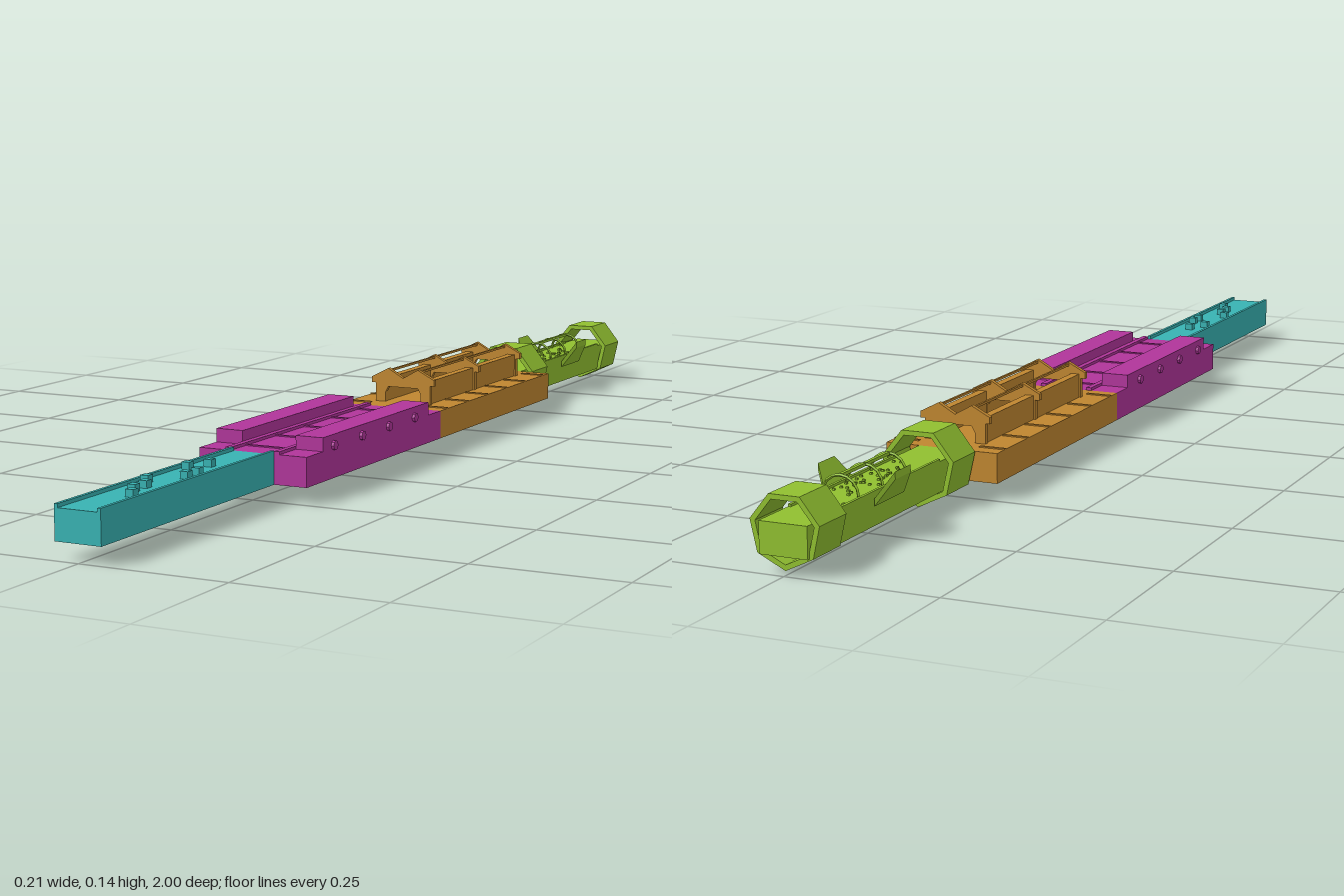
import * as THREE from 'three';

const material = (color) => new THREE.MeshStandardMaterial({ color, flatShading: true, side: THREE.DoubleSide });
const TEAL = material(0x38b2b2), MAGENTA = material(0xb0359a);
const ORANGE = material(0xbf8630), GREEN = material(0x90bf30);
const BOTTOM = 0.033, FLOOR = 0.083;

function add(group, name, geometry, mat) {
  const mesh = new THREE.Mesh(geometry, mat);
  mesh.name = name;
  group.add(mesh);
  return mesh;
}

// Box given by its extents on each axis
function box(group, name, mat, [x0, x1], [y0, y1], [z0, z1]) {
  const mesh = add(group, name, new THREE.BoxGeometry(x1 - x0, y1 - y0, z1 - z0), mat);
  mesh.position.set((x0 + x1) / 2, (y0 + y1) / 2, (z0 + z1) / 2);
  return mesh;
}

function section(parent, name) {
  const group = new THREE.Group();
  group.name = name;
  parent.add(group);
  return group;
}

const span = (side, a, b) => (side > 0 ? [a, b] : [-b, -a]);

// Seven-sided outline with one corner at the bottom
function heptagon(Type, radius, cy) {
  const points = [];
  for (let i = 0; i < 7; i++) {
    const a = -Math.PI / 2 + (i * Math.PI * 2) / 7;
    points.push(new THREE.Vector2(Math.cos(a) * radius, cy + Math.sin(a) * radius));
  }
  return new Type(points);
}

// Narrow front track with curbs and scattered blocks
function buildTrack(root) {
  const g = section(root, 'frontTrack');
  box(g, 'trackBase', TEAL, [-0.04, 0.04], [BOTTOM, FLOOR], [0.5, 1]);
  for (const s of [-1, 1]) box(g, 'trackCurb', TEAL, span(s, 0.034, 0.04), [FLOOR, 0.089], [0.5, 1]);
  const blocks = [[0, 0.633], [-0.02, 0.667], [0.018, 0.7], [0.018, 0.733],
    [-0.02, 0.785], [0, 0.82], [0, 0.852], [0.018, 0.885]];
  for (const [x, z] of blocks) {
    box(g, 'trackBlock', TEAL, [x - 0.007, x + 0.007], [FLOOR, 0.095], [z - 0.007, z + 0.007]);
  }
}

// Wide deck with raised side walls and round side lamps
function buildDeck(root) {
  const g = section(root, 'walledDeck');
  box(g, 'deckBase', MAGENTA, [-0.1, 0.1], [BOTTOM, FLOOR], [0, 0.5]);
  for (const s of [-1, 1]) {
    box(g, 'deckCurb', MAGENTA, span(s, 0.04, 0.05), [FLOOR, 0.088], [0, 0.5]);
    box(g, 'sideWall', MAGENTA, span(s, 0.05, 0.1), [FLOOR, 0.106], [0.05, 0.445]);
    for (let i = 0; i < 4; i++) {
      const lamp = add(g, 'sideLamp', new THREE.CylinderGeometry(0.008, 0.008, 0.01, 8), MAGENTA);
      lamp.rotation.z = Math.PI / 2;
      lamp.position.set(s * 0.1, 0.088, 0.108 + i * 0.1);
    }
  }
  for (let i = 0; i < 5; i++) {
    const z = 0.05 + i * 0.1;
    box(g, 'deckSeam', MAGENTA, [-0.04, 0.04], [FLOOR, 0.085], [z - 0.003, z + 0.003]);
  }
}

// Platform with low walls under three double-peaked frames
function buildPlatform(root) {
  const g = section(root, 'coveredPlatform');
  box(g, 'platformBase', ORANGE, [-0.1, 0.1], [BOTTOM, FLOOR], [-0.5, 0]);
  const outline = new THREE.Shape([
    [-0.055, FLOOR], [-0.055, 0.117], [-0.063, 0.117], [-0.063, 0.128], [-0.03, 0.145], [0, 0.128],
    [0.03, 0.145], [0.063, 0.128], [0.063, 0.117], [0.055, 0.117], [0.055, FLOOR],
    [0.036, FLOOR], [0.036, 0.1], [0.03, 0.111], [-0.03, 0.111], [-0.036, 0.1], [-0.036, FLOOR],
  ].map(([x, y]) => new THREE.Vector2(x, y)));
  const frame = new THREE.ExtrudeGeometry(outline, { depth: 0.009, bevelEnabled: false });
  for (const z of [-0.055, -0.25, -0.445]) add(g, 'peakedFrame', frame, ORANGE).position.z = z - 0.0045;
  for (const s of [-1, 1]) {
    box(g, 'platformWall', ORANGE, span(s, 0.037, 0.052), [FLOOR, 0.125], [-0.445, -0.055]);
    box(g, 'ridgeRail', ORANGE, span(s, 0.028, 0.032), [0.138, 0.142], [-0.445, -0.055]);
    for (let i = 0; i < 6; i++) {
      const z = -0.03 - i * 0.088;
      box(g, 'floorSeam', ORANGE, span(s, 0.055, 0.1), [FLOOR, 0.085], [z - 0.003, z + 0.003]);
    }
  }
}

// Hollow seven-sided collar around the walkway
function collar(g, radius, cy, z0, z1) {
  const shape = heptagon(THREE.Shape, radius, cy);
  shape.holes.push(heptagon(THREE.Path, radius - 0.009, cy));
  add(g, 'collar', new THREE.ExtrudeGeometry(shape, { depth: z1 - z0, bevelEnabled: false }), GREEN).position.z = z0;
}

// Rear walkway with collars, tilted side flaps and thin hoops
function buildWalkway(root) {
  const g = section(root, 'rearWalkway');
  box(g, 'walkwayBase', GREEN, [-0.04, 0.04], [BOTTOM, FLOOR], [-1, -0.5]);
  collar(g, 0.065, 0.069, -0.583, -0.505);
  collar(g, 0.059, 0.07, -0.995, -0.917);

  for (const s of [-1, 1]) {
    // Flap tapers toward its raised outer edge
    const flap = new THREE.BoxGeometry(1, 1, 1);
    const p = flap.attributes.position;
    for (let i = 0; i < p.count; i++) {
      const outer = p.getX(i) > 0;
      const y = (outer ? 0.109 : 0.07) + p.getY(i) * 0.012;
      const z = -0.757 + p.getZ(i) * (outer ? 0.05 : 0.095);
      // Swapping the end with z mirrored keeps the corner order correct
      p.setXYZ(i, s * (outer ? 0.066 : 0.042), y, s > 0 ? z : -1.514 - z);
    }
    flap.computeVertexNormals();
    add(g, 'sideFlap', flap, GREEN);
    box(g, 'walkwayCurb', GREEN, span(s, 0.035, 0.04), [FLOOR, 0.087], [-0.917, -0.583]);
  }

  for (const z of [-0.68, -0.757, -0.832]) {
    add(g, 'hoop', new THREE.TorusGeometry(0.031, 0.0025, 4, 8, Math.PI), GREEN).position.set(0, 0.084, z);
  }
  box(g, 'hoopRail', GREEN, [-0.003, 0.003], [0.112, 0.117], [-0.832, -0.68]);

  // Scattered low studs
  let seed = 7;
  const random = () => (seed = (seed * 16807) % 2147483647) / 2147483647;
  for (let i = 0; i < 40; i++) {
    const x = (random() - 0.5) * 0.06, z = -0.6 - random() * 0.3;
    box(g, 'stud', GREEN, [x - 0.002, x + 0.002], [FLOOR, 0.086], [z - 0.002, z + 0.002]);
  }
}

export function createModel() {
  const root = new THREE.Group();
  root.name = 'segmentedCauseway';
  buildTrack(root);
  buildDeck(root);
  buildPlatform(root);
  buildWalkway(root);
  // Rest the lowest collar corner on the ground
  const bounds = new THREE.Box3().setFromObject(root);
  root.position.y = -bounds.min.y;
  return root;
}
